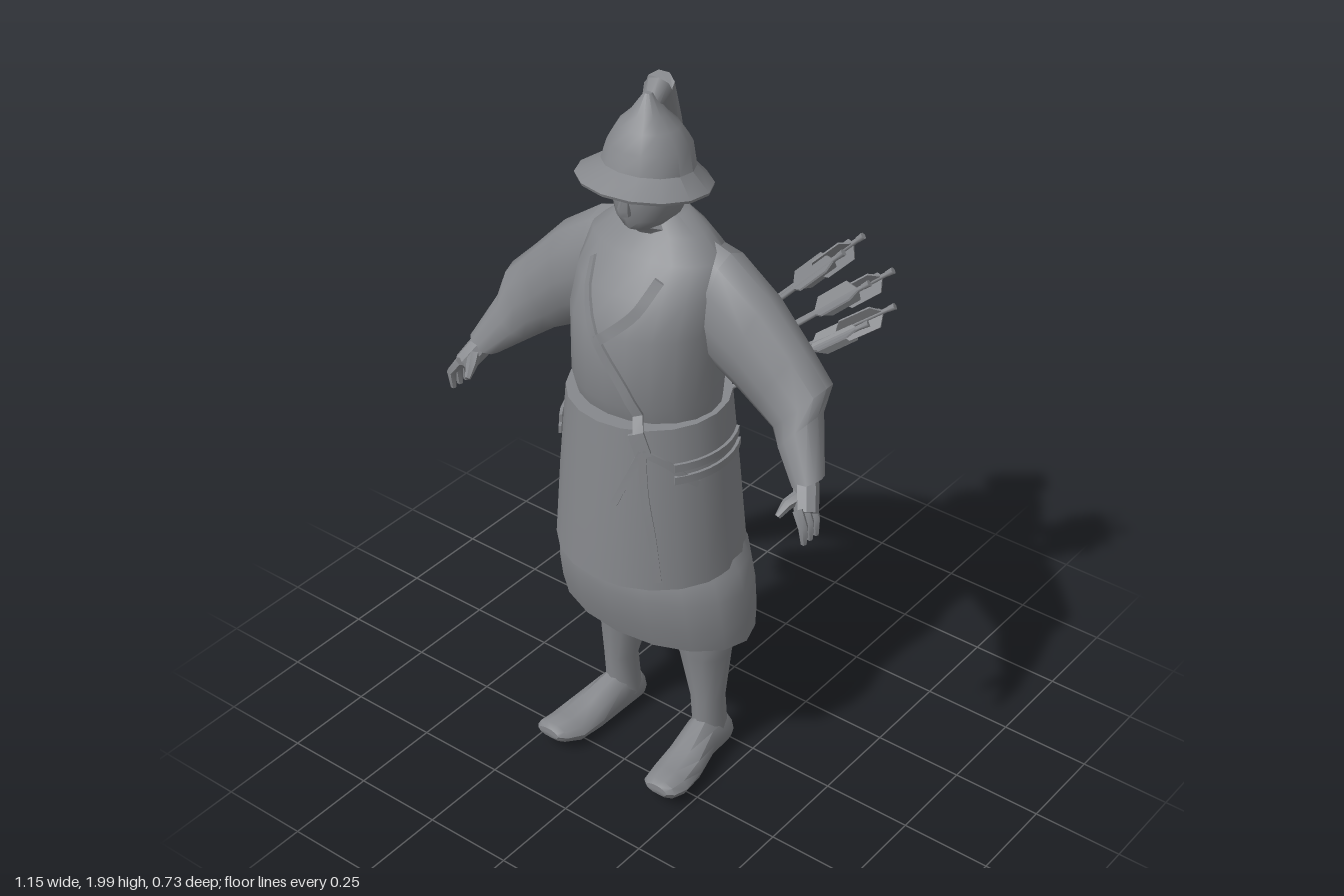
import * as THREE from 'three';
import { toCreasedNormals } from 'three/addons/utils/BufferGeometryUtils.js';

const V = (x, y, z) => new THREE.Vector3(x, y, z);
const grey = new THREE.MeshStandardMaterial({ color: 0x86888c });
grey.name = 'grey';

// Skin between rings { c, u, v }; rings advance along u x v. Both ends are closed.
function loft(rings, sides, { mirror = false, start = 0, crease = 0.75 } = {}) {
  const pos = [], idx = [], n = rings.length;
  const tri = (a, b, c) => (mirror ? idx.push(a, c, b) : idx.push(a, b, c));
  const put = (p) => pos.push(mirror ? -p.x : p.x, p.y, p.z);
  for (const { c, u, v } of rings) {
    for (let j = 0; j < sides; j++) {
      const a = start + (j / sides) * Math.PI * 2;
      put(c.clone().addScaledVector(u, Math.cos(a)).addScaledVector(v, Math.sin(a)));
    }
  }
  put(rings[0].c);
  put(rings[n - 1].c);
  for (let j = 0; j < sides; j++) {
    const k = (j + 1) % sides;
    for (let i = 0; i < n - 1; i++) {
      const a = i * sides, b = a + sides;
      tri(a + j, a + k, b + k);
      tri(a + j, b + k, b + j);
    }
    tri(n * sides, k, j);
    tri(n * sides + 1, (n - 1) * sides + j, (n - 1) * sides + k);
  }
  const g = new THREE.BufferGeometry();
  g.setAttribute('position', new THREE.Float32BufferAttribute(pos, 3));
  g.setIndex(idx);
  return toCreasedNormals(g, crease);
}

// Upright ring: height, half width, back z, front z, centre x, forward tilt
const yRing = ([y, rx, zb, zf, cx = 0, tilt = 0]) => ({
  c: V(cx, y, (zb + zf) / 2),
  u: V(0, (tilt * (zf - zb)) / 2, (zf - zb) / 2),
  v: V(rx, 0, 0),
});

// Tapered limb through [x, y, z, radius]
function limb(points, sides, opt) {
  const p = points.map(([x, y, z]) => V(x, y, z));
  return loft(p.map((c, i) => {
    const d = p[Math.min(i + 1, p.length - 1)].clone().sub(p[Math.max(i - 1, 0)]).normalize();
    const u = V(0, 0, 1).cross(d).normalize();
    return { c, u: u.clone().multiplyScalar(points[i][3]), v: d.cross(u).multiplyScalar(points[i][3]) };
  }), sides, opt);
}

const TORSO = [
  [1.12, 0.195, -0.03, 0.28], [1.2, 0.2, -0.045, 0.31], [1.39, 0.205, -0.065, 0.308],
  [1.48, 0.205, -0.06, 0.265], [1.56, 0.19, -0.035, 0.2], [1.61, 0.13, -0.01, 0.16], [1.65, 0.075, 0.02, 0.14],
];
const SKIRT = [[0.69, 0.255, -0.11, 0.36], [0.92, 0.235, -0.095, 0.35], [1.155, 0.212, -0.078, 0.335]];

// Robe cross-section at height y: half width, half depth, centre z
function section(y) {
  const t = y < 1.155 ? SKIRT : TORSO;
  let i = 0;
  while (i < t.length - 2 && y > t[i + 1][0]) i++;
  const f = (y - t[i][0]) / (t[i + 1][0] - t[i][0]);
  const [, rx, zb, zf] = t[i].map((a, k) => a + (t[i + 1][k] - a) * f);
  return { rx, rz: (zf - zb) / 2, cz: (zf + zb) / 2 };
}

// Flat band following points with outward normals
function band(items, width, thick = 0.008) {
  return loft(items.map(({ p, n }, i) => {
    const d = items[Math.min(i + 1, items.length - 1)].p.clone().sub(items[Math.max(i - 1, 0)].p);
    const u = n.clone().cross(d).normalize().multiplyScalar(width * 0.707);
    return { c: p, u, v: n.clone().multiplyScalar(thick * 0.707) };
  }), 4, { start: Math.PI / 4, crease: 0.5 });
}

// Cord laid on the front of the robe through [x, y] points
function cord(points, width) {
  const curve = new THREE.CatmullRomCurve3(points.map(([x, y]) => V(x, y, 0)));
  return band(curve.getPoints(12).map(({ x, y }) => {
    const { rx, rz, cz } = section(y);
    const k = Math.sqrt(Math.max(0.05, 1 - (x / rx) ** 2));
    return { p: V(x, y, cz + rz * k + 0.006), n: V(x / rx / rx, 0, k / rz).normalize() };
  }), width);
}

export function createModel() {
  const model = new THREE.Group();
  const add = (name, geo, parent = model) => {
    const m = new THREE.Mesh(geo, grey);
    m.name = name;
    parent.add(m);
    return m;
  };

  // Robe
  add('torso', loft(TORSO.map(yRing), 20));
  add('skirt', loft(SKIRT.map(yRing), 20));
  add('hem', loft([
    [0.46, 0.292, -0.08, 0.272], [0.53, 0.296, -0.09, 0.295], [0.62, 0.288, -0.1, 0.312],
    [0.68, 0.27, -0.1, 0.31], [0.73, 0.235, -0.08, 0.29],
  ].map(yRing), 16));

  // Head and neck
  add('head', loft([
    [1.57, 0.075, 0.02, 0.14], [1.625, 0.07, 0.03, 0.17], [1.635, 0.05, 0.03, 0.2], [1.665, 0.08, 0.03, 0.213],
    [1.72, 0.09, 0.025, 0.22], [1.8, 0.09, 0.025, 0.22],
  ].map(yRing), 14));
  add('nose', loft([[1.68, 0.018, 0.19, 0.232], [1.695, 0.018, 0.19, 0.237], [1.745, 0.008, 0.19, 0.222]].map(yRing), 6));

  // Helmet with sloping brim, and the hanging plume
  add('helmet', loft([
    [1.765, 0.1, 0.02, 0.225], [1.742, 0.168, -0.022, 0.3], [1.75, 0.17, -0.023, 0.303], [1.785, 0.116, 0.01, 0.236],
    [1.84, 0.103, 0.015, 0.22], [1.885, 0.076, 0.045, 0.195], [1.915, 0.045, 0.075, 0.168], [1.965, 0.01, 0.11, 0.135],
  ].map((r, i) => yRing([...r, 0, i < 4 ? 0.14 : 0.06])), 14));
  add('plume', limb([
    [0, 1.92, 0.12, 0.022], [0, 1.965, 0.085, 0.035], [-0.02, 1.955, 0.055, 0.036],
    [-0.05, 1.83, -0.01, 0.036], [-0.085, 1.7, -0.075, 0.036],
  ], 8));

  for (const side of ['left', 'right']) {
    const mirror = side === 'right';
    // Sleeve: upper xy, lower xy, centre z, half depth
    add(side + 'Sleeve', loft([
      [0.08, 1.61, 0.1, 1.22, 0.06, 0.08], [0.2, 1.575, 0.19, 1.26, 0.062, 0.1], [0.32, 1.49, 0.255, 1.225, 0.062, 0.097],
      [0.42, 1.385, 0.31, 1.185, 0.062, 0.088], [0.495, 1.31, 0.36, 1.16, 0.07, 0.082],
      [0.497, 1.25, 0.4, 1.135, 0.105, 0.07], [0.555, 1.125, 0.475, 1.085, 0.165, 0.042],
    ].map(([x1, y1, x2, y2, z, d]) => ({
      c: V((x1 + x2) / 2, (y1 + y2) / 2, z), u: V((x1 - x2) / 2, (y1 - y2) / 2, 0), v: V(0, 0, d),
    })), 12, { mirror }));

    // Hand: palm, curled fingers and thumb
    const hand = new THREE.Group();
    hand.name = side + 'Hand';
    model.add(hand);
    add('palm', limb([[0.5, 1.13, 0.15, 0.028], [0.525, 1.09, 0.185, 0.032], [0.548, 1.05, 0.215, 0.03]], 8, { mirror }), hand);
    for (let i = 0; i < 3; i++) {
      const z = 0.19 + i * 0.025;
      add('finger', limb([[0.54, 1.07, z, 0.014], [0.564, 1.035, z + 0.01, 0.013], [0.564, 0.985, z + 0.005, 0.008]], 6, { mirror }), hand);
    }
    add('thumb', limb([[0.525, 1.09, 0.195, 0.018], [0.505, 1.07, 0.235, 0.015], [0.497, 1.045, 0.262, 0.008]], 6, { mirror }), hand);

    // Leg and upturned boot
    add(side + 'Leg', loft([
      [0.06, 0.046, 0.008, 0.115, 0.15], [0.2, 0.047, 0.024, 0.125, 0.15], [0.35, 0.075, 0, 0.14, 0.135],
      [0.42, 0.1, -0.01, 0.155, 0.13], [0.54, 0.1, -0.02, 0.16, 0.128],
    ].map(yRing), 12, { mirror }));
    add(side + 'Boot', loft([
      [0.005, 0.152, 0.035, 0, 0.09], [0.03, 0.152, 0.047, 0, 0.13], [0.11, 0.155, 0.05, 0, 0.135], [0.2, 0.17, 0.06, 0, 0.1],
      [0.28, 0.178, 0.062, 0.008, 0.085], [0.33, 0.185, 0.052, 0.03, 0.088], [0.347, 0.187, 0.035, 0.05, 0.078],
    ].map(([z, cx, w, y0, y1]) => ({ c: V(cx, (y0 + y1) / 2, z), u: V(w, 0, 0), v: V(0, (y1 - y0) / 2, 0) })), 10, { mirror }));

    // Belt loops around the flank
    for (const y of [1.015, 1.05]) {
      const { rx, rz, cz } = section(y), items = [];
      for (let i = 0; i <= 8; i++) {
        const a = -0.5 + (i / 8) * 1.15, s = mirror ? -1 : 1;
        items.push({
          p: V(s * (rx + 0.006) * Math.cos(a), y, cz + (rz + 0.006) * Math.sin(a)),
          n: V((s * Math.cos(a)) / rx, 0, Math.sin(a) / rz).normalize(),
        });
      }
      add(side + 'BeltLoop', band(items, 0.022));
    }
  }

  // Crossed chest cords, knot and loose ends
  add('longCord', cord([[-0.105, 1.53], [-0.07, 1.45], [0, 1.35], [0.06, 1.26], [0.11, 1.15]], 0.026));
  add('shortCord', cord([[0.1, 1.53], [0.075, 1.46], [0.02, 1.4], [-0.015, 1.37]], 0.026));
  add('knot', cord([[0.105, 1.15], [0.125, 1.085]], 0.04));
  add('cordEnd', cord([[0.12, 1.1], [0.095, 1.03], [0.06, 0.94]], 0.018));
  add('cordEnd', cord([[0.12, 1.1], [0.17, 1.06], [0.215, 0.99]], 0.018));
  add('cordEnd', cord([[0.12, 1.1], [0.13, 0.98], [0.15, 0.85], [0.165, 0.72]], 0.02));

  // Quiver slung across the back
  const quiver = new THREE.Group();
  quiver.name = 'quiver';
  model.add(quiver);
  const mouth = V(-0.06, 1.0, -0.125), base = V(-0.285, 0.85, -0.02);
  const axis = mouth.clone().sub(base).normalize();
  const across = V(0, 0, 1).cross(axis).normalize(), out = axis.clone().cross(across);
  add('quiverCase', loft([[0, 0.064, 0.045], [0.5, 0.074, 0.05], [1, 0.08, 0.05], [1, 0.068, 0.04], [0.9, 0.066, 0.038]].map(([t, w, d]) => ({
    c: base.clone().lerp(mouth, t), u: across.clone().multiplyScalar(w), v: out.clone().multiplyScalar(d),
  })), 10), quiver);

  // Arrows: offset at the mouth, then nock position
  const vane = new THREE.ExtrudeGeometry(new THREE.Shape([[0, 0], [0.032, 0.03], [0.032, 0.12], [0, 0.14]]
    .map(([x, y]) => new THREE.Vector2(x, y))), { depth: 0.005, bevelEnabled: false });
  vane.translate(0.003, 0, -0.0025);
  [
    [0.05, 0, 0.33, 1.5, -0.3], [0.04, 0.02, 0.3, 1.46, -0.26], [0.01, -0.02, 0.39, 1.4, -0.35],
    [0, 0.02, 0.36, 1.38, -0.29], [-0.03, 0, 0.4, 1.3, -0.35], [-0.05, 0.01, 0.35, 1.25, -0.31],
  ].forEach(([a, b, x, y, z], i) => {
    const from = mouth.clone().addScaledVector(across, a).addScaledVector(out, b).addScaledVector(axis, -0.04);
    const dir = V(x, y, z).sub(from), len = dir.length();
    const arrow = new THREE.Group();
    arrow.name = 'arrow';
    arrow.position.copy(from);
    arrow.quaternion.setFromUnitVectors(V(0, 1, 0), dir.normalize());
    quiver.add(arrow);
    add('shaft', new THREE.CylinderGeometry(0.007, 0.007, len, 6).translate(0, len / 2, 0), arrow);
    add('nock', new THREE.CylinderGeometry(0.01, 0.008, 0.02, 6).translate(0, len, 0), arrow);
    for (let k = 0; k < 3; k++) {
      const m = add('feather', vane, arrow);
      m.position.y = len - 0.165;
      m.rotation.y = i + (k * Math.PI * 2) / 3;
    }
  });

  return model;
}
